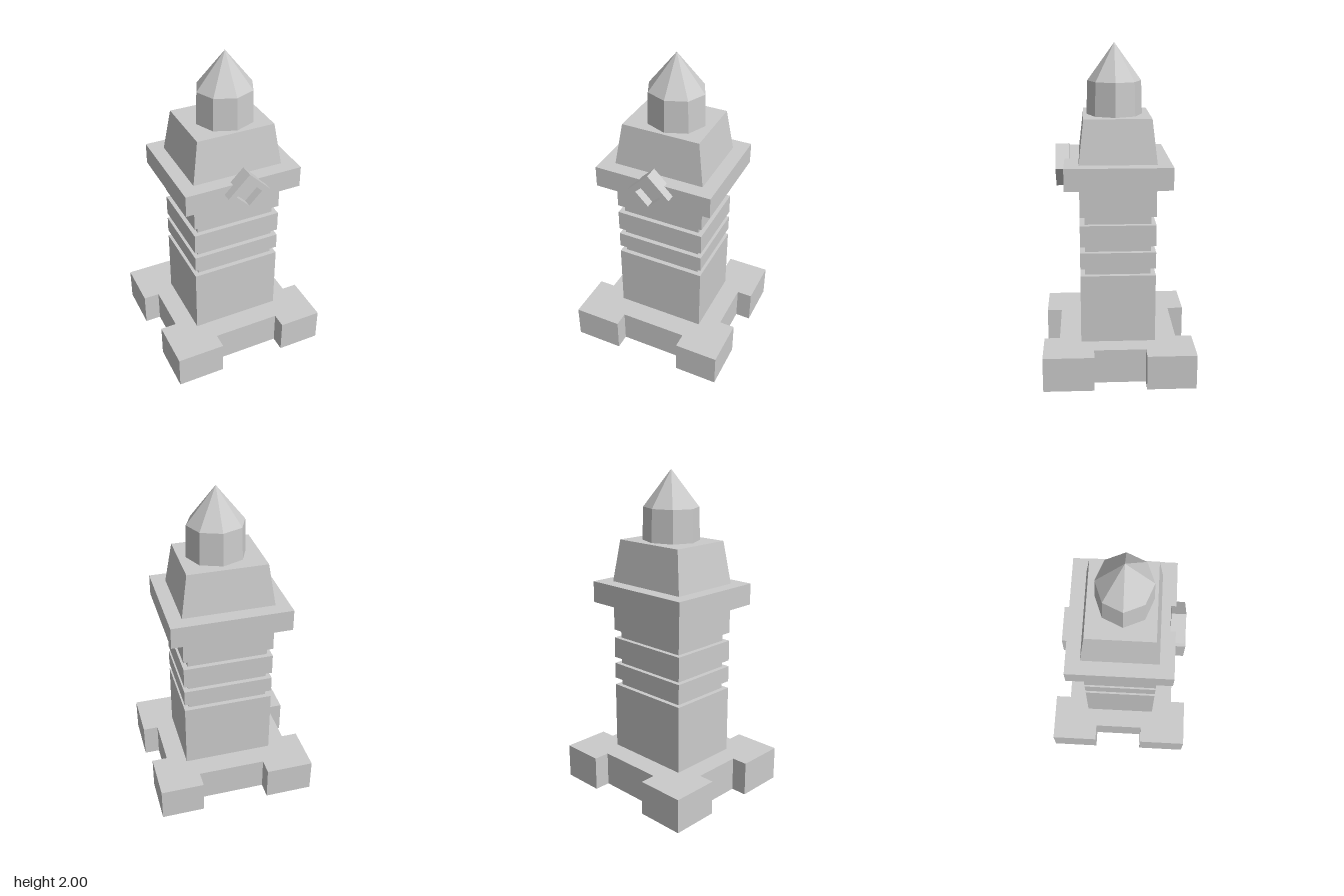
import * as THREE from 'three';

const material = new THREE.MeshStandardMaterial({ color: 0xcccccc, flatShading: true });
const shellMaterial = new THREE.MeshStandardMaterial({ color: 0xcccccc, flatShading: true, side: THREE.DoubleSide });

const polygon = (points) => new THREE.Shape(points.map(([x, y]) => new THREE.Vector2(x, y)));

function addPart(group, name, geometry, mat = material) {
  const mesh = new THREE.Mesh(geometry, mat);
  mesh.name = name;
  group.add(mesh);
  return mesh;
}

// Box between two heights, optionally tapering to a smaller top
function block(halfX, halfZ, y0, y1, topX = halfX, topZ = halfZ) {
  const g = new THREE.BoxGeometry(2, y1 - y0, 2).translate(0, (y0 + y1) / 2, 0);
  const p = g.attributes.position;
  for (let i = 0; i < p.count; i++) {
    const top = p.getY(i) > (y0 + y1) / 2;
    p.setX(i, p.getX(i) * (top ? topX : halfX));
    p.setZ(i, p.getZ(i) * (top ? topZ : halfZ));
  }
  g.computeVertexNormals();
  return g;
}

// Hollow plinth, open underneath: an extruded outline without its lower cap
function plinthShell(height) {
  const outline = polygon([
    [-0.5, -0.455], [-0.2, -0.455], [-0.2, -0.36], [0.225, -0.36], [0.225, -0.455], [0.495, -0.455],
    [0.495, -0.15], [0.4, -0.15], [0.4, 0.163], [0.495, 0.163], [0.495, 0.46], [0.225, 0.46],
    [0.225, 0.36], [-0.2, 0.36], [-0.2, 0.46], [-0.5, 0.46], [-0.5, 0.163], [-0.4, 0.163],
    [-0.4, -0.15], [-0.5, -0.15],
  ]);
  const solid = new THREE.ExtrudeGeometry(outline, { depth: height, bevelEnabled: false });
  const lowerCap = solid.groups[0].count / 2;
  const g = new THREE.BufferGeometry();
  g.setAttribute('position', new THREE.BufferAttribute(solid.attributes.position.array.slice(lowerCap * 3), 3));
  g.rotateX(-Math.PI / 2);
  g.computeVertexNormals();
  return g;
}

export function createModel() {
  const model = new THREE.Group();
  model.name = 'tower';

  // Plinth with four projecting corners
  addPart(model, 'plinth', plinthShell(0.215), shellMaterial);

  // Shaft, with bands separated by a narrower core
  addPart(model, 'shaft', block(0.28, 0.227, 0.215, 0.643));
  addPart(model, 'grooveCore', block(0.25, 0.198, 0.643, 1.01));
  [[0.688, 0.788], [0.828, 0.958], [1.01, 1.19]].forEach(([y0, y1], i) =>
    addPart(model, `band${i + 1}`, block(0.28, 0.227, y0, y1)));

  // Collar and tapered head
  addPart(model, 'collar', block(0.365, 0.314, 1.19, 1.322));
  addPart(model, 'head', block(0.28, 0.228, 1.322, 1.582, 0.24, 0.198));

  // Eight-sided turret and pointed roof, slightly off centre
  const spire = new THREE.LatheGeometry([
    new THREE.Vector2(0, 1.58), new THREE.Vector2(0.181, 1.58),
    new THREE.Vector2(0.174, 1.78), new THREE.Vector2(0, 2),
  ], 8);
  spire.scale(1, 1, 0.92).translate(0.015, 0, 0.012);
  addPart(model, 'spire', spire);

  // Diamond frame on the front of the collar
  const diamond = (r) => [[r, 0], [0, r], [-r, 0], [0, -r]];
  const frame = polygon(diamond(0.131));
  frame.holes.push(polygon(diamond(0.08)));
  const emblem = addPart(model, 'diamondFrame',
    new THREE.ExtrudeGeometry(frame, { depth: 0.085, bevelEnabled: false }));
  emblem.position.set(0.004, 1.27, 0.282);

  return model;
}
